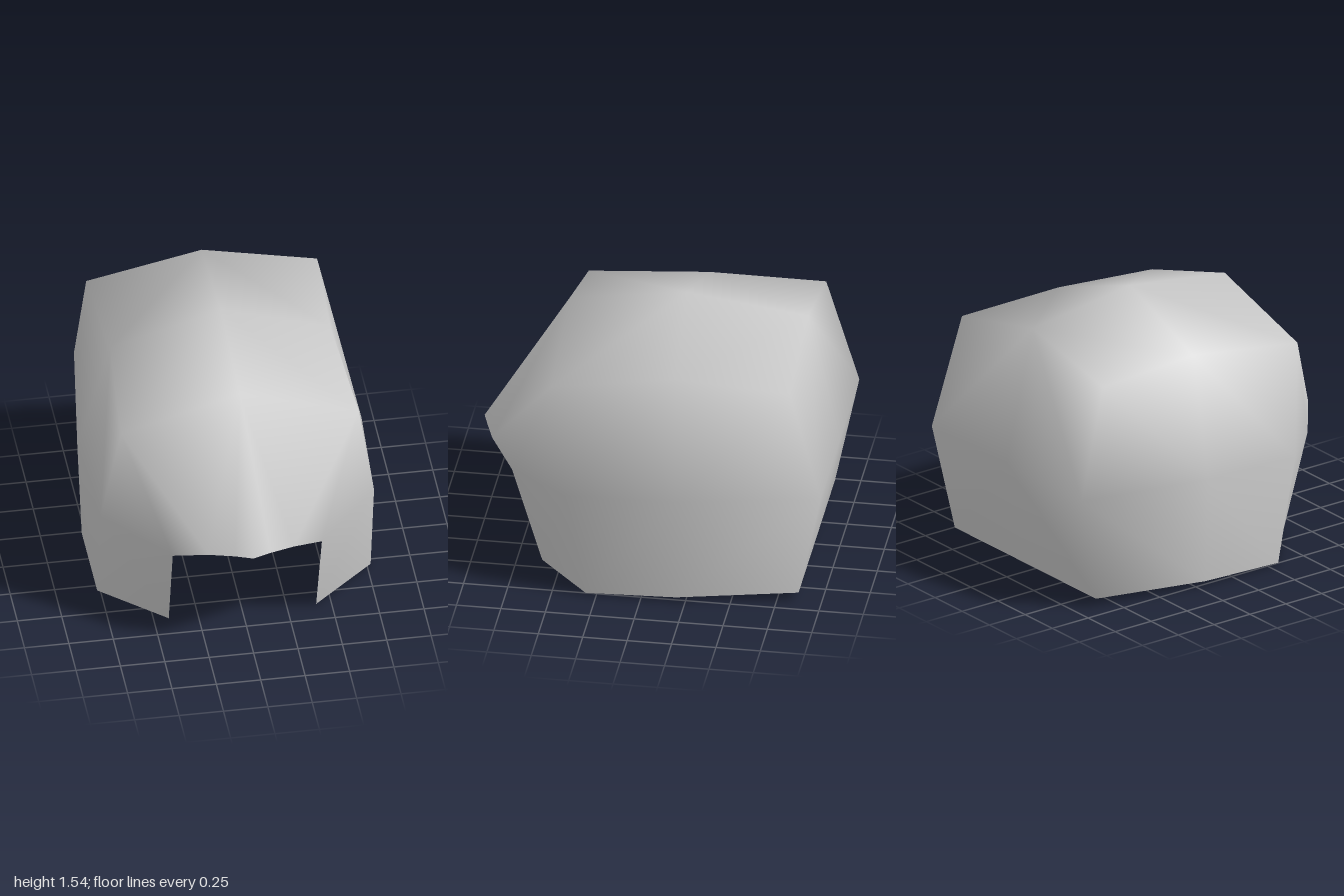
import * as THREE from 'three';
import { mergeVertices } from 'three/addons/utils/BufferGeometryUtils.js';

// Wall columns from back centre round the left side to the front: [top, middle, bottom]
const columns = [
  [[0, 1.45, -0.82], [0, 0.68, -1], [0, 0.05, -0.87]],
  [[0.65, 1.31, -0.82], [0.69, 0.68, -1], [0.65, 0.05, -0.87]],
  [[0.62, 1.33, -0.17], [0.8, 0.65, -0.2], [0.775, 0.03, -0.2]],
  [[0.67, 1.25, 0.52], [0.77, 0.62, 0.43], [0.77, 0.012, 0.31]],
];
// Roof ridge from back to front
const ridge = [[0, 1.45, -0.82], [0, 1.54, -0.14], [0, 1.45, 0.52]];
// Lip above the face opening, from the centre outwards
const lip = [[0, 0.66, 1], [0.1, 0.665, 0.97], [0.24, 0.655, 0.92], [0.42, 0.565, 0.78]];
const cheekBottom = [0.415, 0, 0.61];

function buildShell() {
  const positions = [];

  // Every triangle is added together with its mirror image
  const tri = (a, b, c) => {
    positions.push(...a, ...b, ...c);
    for (const [x, y, z] of [a, c, b]) positions.push(x === 0 ? 0 : -x, y, z);
  };
  const quad = (a, b, c, d) => {
    tri(a, b, c);
    tri(a, c, d);
  };

  // Back and side walls
  for (let i = 0; i < columns.length - 1; i++) {
    const here = columns[i], next = columns[i + 1];
    for (let r = 0; r < 2; r++) quad(here[r], next[r], next[r + 1], here[r + 1]);
  }

  // Sloping roof
  for (let i = 0; i < 2; i++) {
    quad(ridge[i], ridge[i + 1], columns[i + 2][0], columns[i + 1][0]);
  }

  // Pointed front, fanned down to the lip
  const [corner, cheekTop, sideBottom] = columns[3];
  tri(ridge[2], lip[0], lip[1]);
  tri(ridge[2], lip[1], lip[2]);
  tri(ridge[2], lip[2], corner);
  tri(corner, lip[2], lip[3]);
  tri(corner, lip[3], cheekTop);

  // Cheek beside the opening
  quad(cheekTop, lip[3], cheekBottom, sideBottom);

  // Shared corners give smooth normals over the whole shell
  let geometry = new THREE.BufferGeometry();
  geometry.setAttribute('position', new THREE.Float32BufferAttribute(positions, 3));
  geometry = mergeVertices(geometry);
  geometry.computeVertexNormals();
  return geometry;
}

export function createModel() {
  const grey = new THREE.MeshStandardMaterial({ color: 0xc8c8c8, side: THREE.DoubleSide });
  grey.name = 'light grey';

  const shell = new THREE.Mesh(buildShell(), grey);
  shell.name = 'helmetShell';

  const group = new THREE.Group();
  group.name = 'helmet';
  group.add(shell);
  return group;
}
